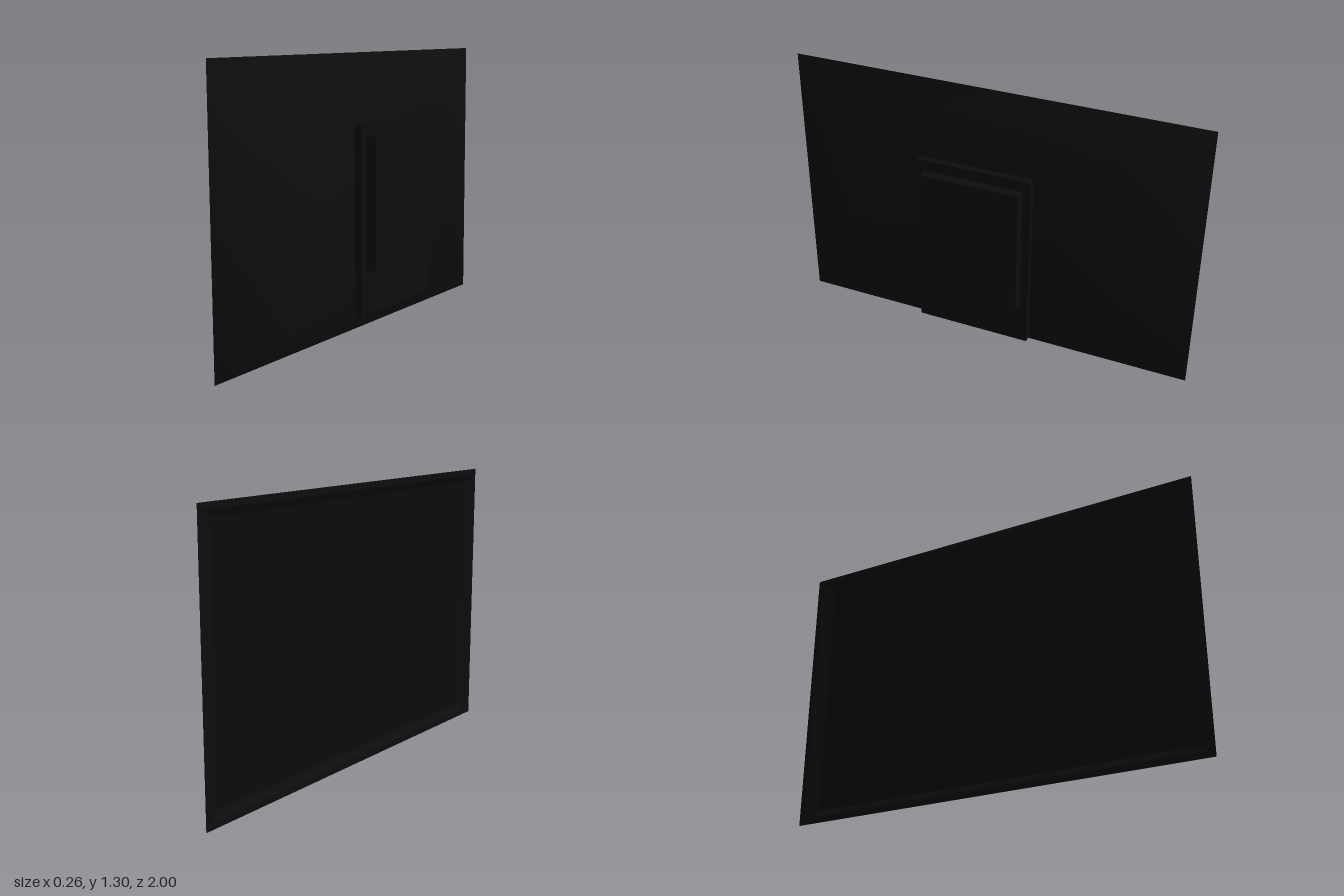
import * as THREE from 'three';

// Rectangular section facing +x, corners counter-clockwise: x, bottom, top, half width in z
const section = (x, y0, y1, h) => [[x, y0, h], [x, y0, -h], [x, y1, -h], [x, y1, h]];

// Skin through a row of sections, optionally closed at the last one
function loft(sections, { capEnd = false, smooth = false } = {}) {
  const index = [];
  for (let i = 0; i < sections.length - 1; i++) {
    for (let j = 0; j < 4; j++) {
      const k = (j + 1) % 4, a = i * 4, b = a + 4;
      index.push(a + j, a + k, b + k, a + j, b + k, b + j);
    }
  }
  if (capEnd) {
    const e = (sections.length - 1) * 4;
    index.push(e, e + 1, e + 2, e, e + 2, e + 3);
  }
  let geometry = new THREE.BufferGeometry();
  geometry.setAttribute('position', new THREE.Float32BufferAttribute(sections.flat(2), 3));
  geometry.setIndex(index);
  if (!smooth) geometry = geometry.toNonIndexed();
  geometry.computeVertexNormals();
  return geometry;
}

export function createModel() {
  const casing = new THREE.MeshStandardMaterial({ color: 0x0d0d0d });
  casing.name = 'black casing';
  const glass = new THREE.MeshStandardMaterial({ color: 0x0b0b0b });
  glass.name = 'dark screen';

  const group = new THREE.Group();
  group.name = 'flatScreen';
  const add = (name, geometry, material, x = 0, y = 0, z = 0) => {
    const mesh = new THREE.Mesh(geometry, material);
    mesh.name = name;
    mesh.position.set(x, y, z);
    group.add(mesh);
  };

  // Tapered back shell
  const rim = section(-0.13, 0, 1.3, 1);
  add('backShell', loft([
    rim,
    section(-0.02, 0.12, 1.18, 0.68),
    section(0.045, 0.3, 1.0, 0.28),
  ], { capEnd: true, smooth: true }), casing);

  // Thin bezel with a bevel running in to the screen
  add('bezel', loft([
    section(-0.11, 0.063, 1.237, 0.912),
    section(-0.13, 0.03, 1.27, 0.97),
    rim,
  ]), casing);

  // Recessed screen facing -x
  const screen = new THREE.PlaneGeometry(1.824, 1.174);
  screen.rotateY(-Math.PI / 2);
  add('screen', screen, glass, -0.11, 0.65, 0);

  // Mounting plate and electronics housing on the back
  add('mountPlate', new THREE.BoxGeometry(0.035, 0.85, 0.55), casing, 0.0625, 0.575, 0);
  add('rearHousing', new THREE.BoxGeometry(0.05, 0.6, 0.475), casing, 0.105, 0.65, 0);

  return group;
}
